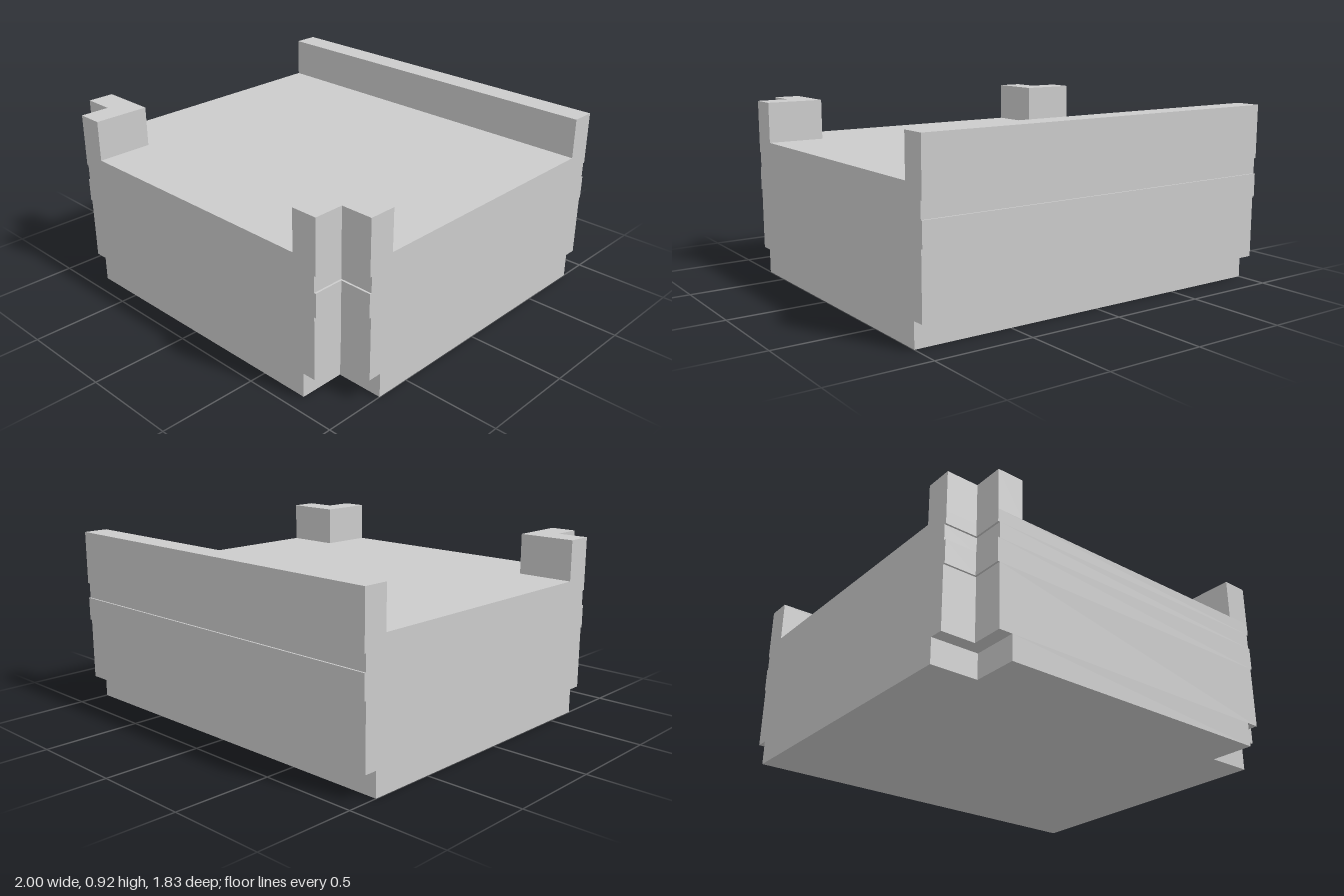
import * as THREE from 'three';

const W = 1, FRONT = 0.915, FLOOR = 0.71, TOP = 0.92;
const material = new THREE.MeshStandardMaterial({ color: 0xcccccc, flatShading: true });

// Vertical prism from a plan outline of [x, z] points
function prism(name, plan, y0, y1) {
  const shape = new THREE.Shape(plan.map(([x, z]) => new THREE.Vector2(x, -z)));
  const geometry = new THREE.ExtrudeGeometry(shape, { depth: y1 - y0, bevelEnabled: false });
  geometry.rotateX(-Math.PI / 2).translate(0, y0, 0);
  const mesh = new THREE.Mesh(geometry, material);
  mesh.name = name;
  return mesh;
}

export function createModel() {
  const group = new THREE.Group();
  group.name = 'blockTray';

  // Body courses: bottom, top, notch x, notch z, back z
  const courses = [
    ['plinth', 0, 0.125, 0.757, 0.68, -0.84],
    ['lowerWall', 0.125, 0.445, 0.826, 0.75, -0.906],
    ['lowerBand', 0.445, 0.565, 0.836, 0.76, -0.915],
    ['groove', 0.565, 0.645, 0.826, 0.75, -0.906],
    ['upperBand', 0.645, FLOOR, 0.836, 0.76, -0.915],
  ];
  for (const [name, y0, y1, nx, nz, back] of courses) {
    group.add(prism(name, [
      [-W, back], [W, back], [W, nz], [nx, nz],
      [nx, FRONT], [-nx, FRONT], [-nx, nz], [-W, nz],
    ], y0, y1));
  }

  // Raised rail along the back
  group.add(prism('backRail', [[-W, -0.915], [W, -0.915], [W, -0.785], [-W, -0.785]], FLOOR, TOP));

  // L-shaped posts wrapping the front notches
  for (const [side, s] of [['left', 1], ['right', -1]]) {
    const plan = [[0.7, 0.62], [W, 0.62], [W, 0.76], [0.836, 0.76], [0.836, FRONT], [0.7, FRONT]];
    group.add(prism(side + 'FrontPost', plan.map(([x, z]) => [s * x, z]), FLOOR, TOP));
  }
  return group;
}
